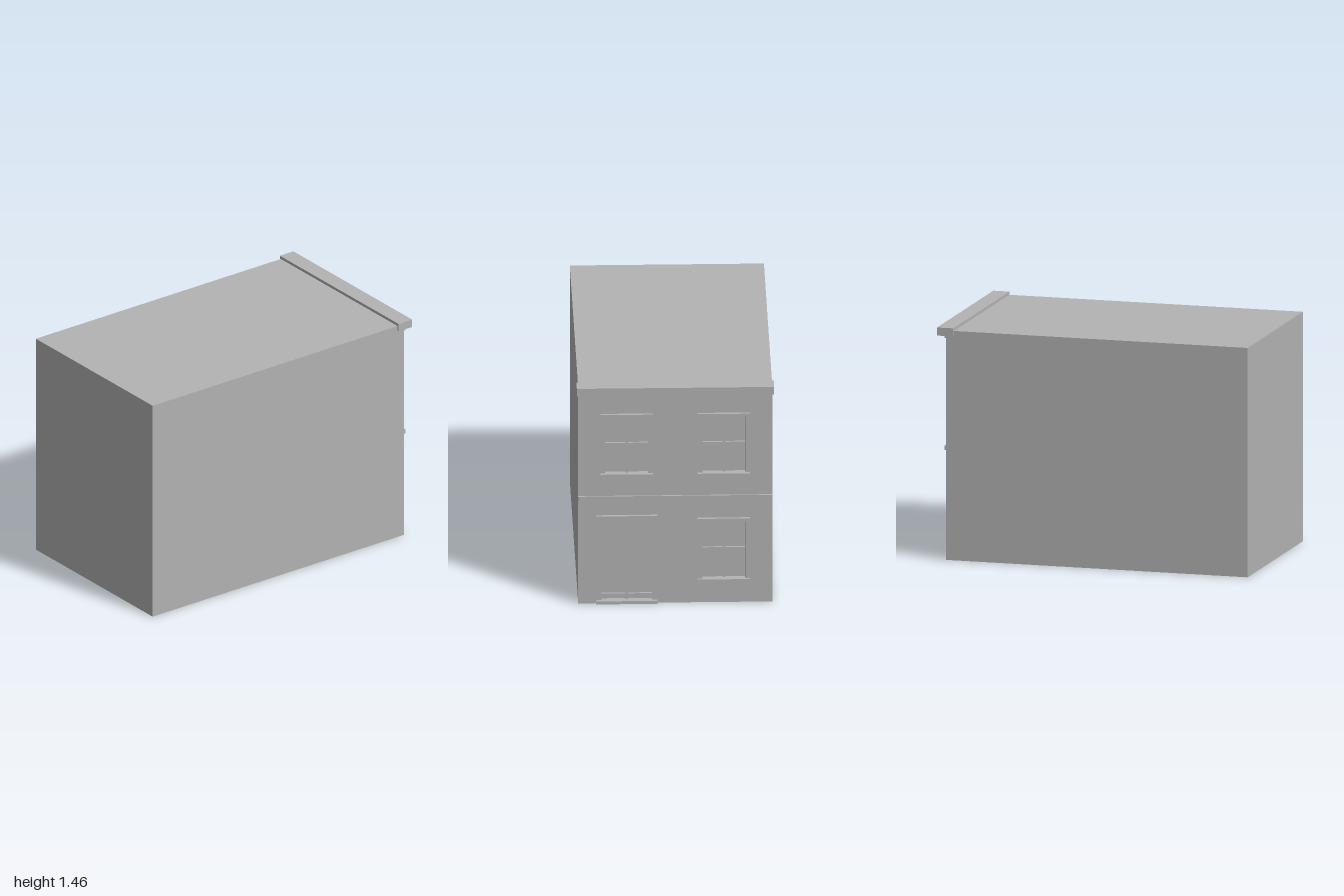
import * as THREE from 'three';

const WALL_Z = -0.944;  // street face of the facade
const RECESS = 0.03;    // depth of window and door openings

export function createModel() {
  const model = new THREE.Group();
  model.name = 'rowHouse';
  const grey = new THREE.MeshStandardMaterial({ color: 0xb3b3b3 });
  grey.name = 'plainGrey';

  // Box given by its limits on each axis
  function box(parent, name, x0, x1, y0, y1, z0, z1) {
    const mesh = new THREE.Mesh(new THREE.BoxGeometry(x1 - x0, y1 - y0, z1 - z0), grey);
    mesh.position.set((x0 + x1) / 2, (y0 + y1) / 2, (z0 + z1) / 2);
    mesh.name = name;
    parent.add(mesh);
  }

  const openings = [
    { name: 'upperLeftWindow', x: 0.3, half: 0.133, y0: 0.87, y1: 1.25, ledge: 0.162 },
    { name: 'upperRightWindow', x: -0.3, half: 0.133, y0: 0.87, y1: 1.25, ledge: 0.162 },
    { name: 'lowerRightWindow', x: -0.3, half: 0.133, y0: 0.16, y1: 0.547, ledge: 0.162 },
    { name: 'door', x: 0.3, half: 0.157, y0: 0.02, y1: 0.57, ledge: 0.19 },
  ];

  // Main block behind the facade
  box(model, 'body', -0.6, 0.6, 0, 1.445, WALL_Z + RECESS, 1);

  // Facade wall with holes for the openings
  const wall = new THREE.Shape();
  wall.moveTo(-0.6, 0).lineTo(0.6, 0).lineTo(0.6, 1.445).lineTo(-0.6, 1.445).closePath();
  for (const o of openings) {
    const hole = new THREE.Path();
    hole.moveTo(o.x - o.half, o.y0).lineTo(o.x - o.half, o.y1)
      .lineTo(o.x + o.half, o.y1).lineTo(o.x + o.half, o.y0).closePath();
    wall.holes.push(hole);
  }
  const facade = new THREE.Mesh(
    new THREE.ExtrudeGeometry(wall, { depth: RECESS, bevelEnabled: false }), grey);
  facade.position.z = WALL_Z;
  facade.name = 'facade';
  model.add(facade);

  // Lintel, sill and glazing bars of each opening
  const barZ0 = WALL_Z + 0.015, barZ1 = WALL_Z + RECESS;
  for (const o of openings) {
    const group = new THREE.Group();
    group.name = o.name;
    model.add(group);
    const { x, half, y0, y1, ledge } = o;
    box(group, 'lintel', x - ledge, x + ledge, y1, y1 + 0.02, WALL_Z - 0.02, WALL_Z);
    box(group, 'sill', x - ledge, x + ledge, y0 - 0.02, y0, WALL_Z - 0.02, WALL_Z);
    box(group, 'uprightBar', x - 0.008, x + 0.008, y0, y1, barZ0, barZ1);
    const railY = o.name === 'door' ? 0.05 : (y0 + y1) / 2;
    box(group, 'crossBar', x - half, x + half, railY - 0.008, railY + 0.008, barZ0, barZ1);
  }

  // Horizontal bands and cornice
  box(model, 'stringCourse', -0.6, 0.6, 0.692, 0.72, WALL_Z - 0.011, WALL_Z);
  box(model, 'frieze', -0.6, 0.6, 1.398, 1.415, WALL_Z - 0.011, WALL_Z);
  box(model, 'cornice', -0.61, 0.61, 1.412, 1.463, -1, -0.895);

  return model;
}
